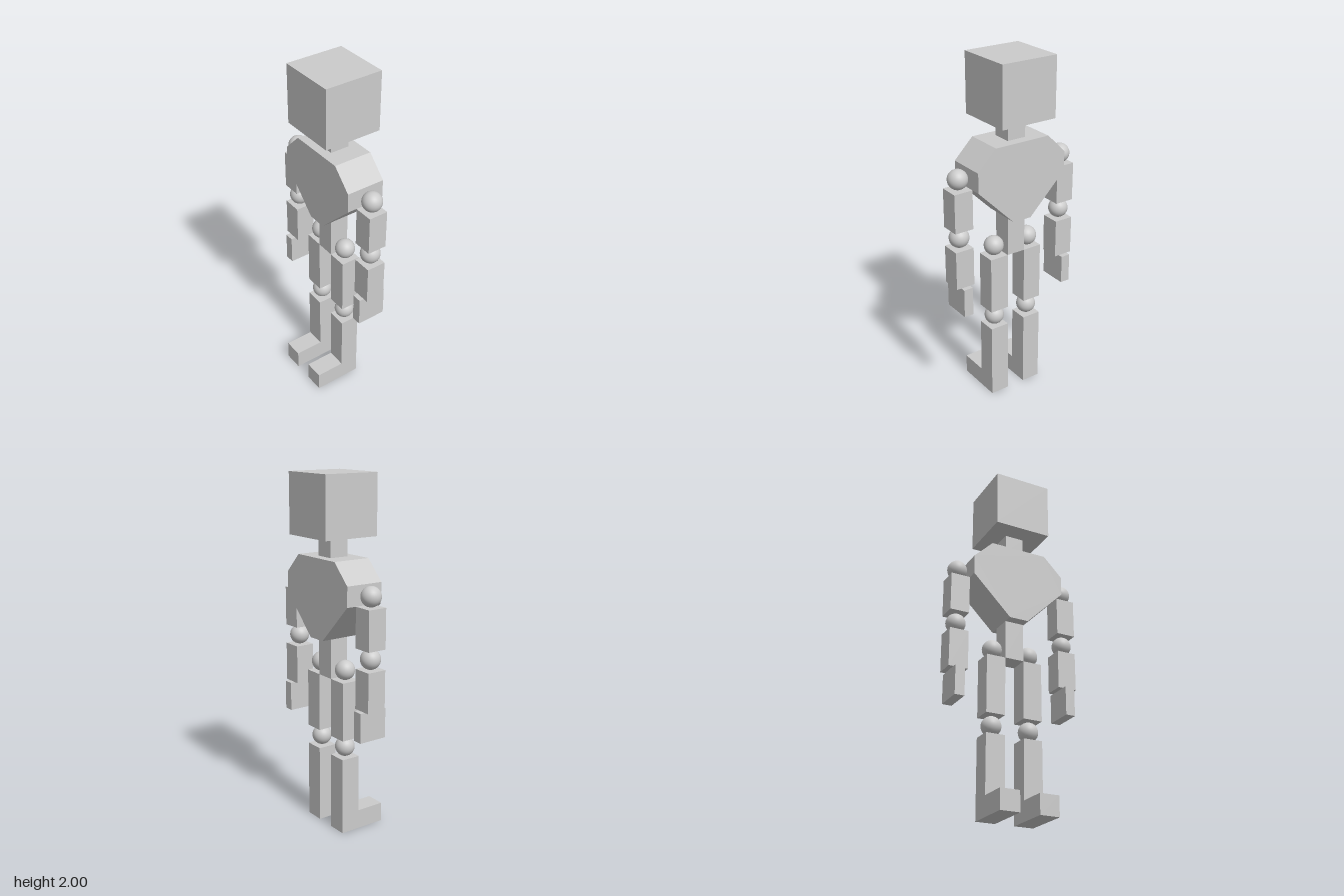
import * as THREE from 'three';

// All sizes are whole or half steps of one module; the figure is 36 modules tall and faces -x.
const U = 1 / 18;
const AXIS = 0.5; // x of the body's centre line

export function createModel() {
  const model = new THREE.Group();
  model.name = 'jointedFigure';
  const material = new THREE.MeshStandardMaterial({ color: 0xcccccc });

  function add(parent, name, geometry, x = 0, y = 0, z = 0) {
    const mesh = new THREE.Mesh(geometry, material);
    mesh.name = name;
    mesh.position.set(x * U, y * U, z * U);
    parent.add(mesh);
    return mesh;
  }

  // Box on the centre line, from height y0 to y1
  function block(parent, name, width, depth, y0, y1, z = 0) {
    const geometry = new THREE.BoxGeometry(width * U, (y1 - y0) * U, depth * U);
    return add(parent, name, geometry, AXIS, (y0 + y1) / 2, z);
  }

  const ball = new THREE.SphereGeometry(U, 32, 16);
  const joint = (parent, name, y, z) => add(parent, name, ball, AXIS, y, z);

  // Outline extruded along z, centred on its depth
  function prism(points, depth) {
    const shape = new THREE.Shape(points.map(([a, b]) => new THREE.Vector2(a * U, b * U)));
    return new THREE.ExtrudeGeometry(shape, { depth: depth * U, bevelEnabled: false })
      .translate(0, 0, -depth * U / 2);
  }

  // Head, neck and spine
  block(model, 'head', 6, 6, 30, 36);
  block(model, 'neck', 2, 2, 28, 30);
  block(model, 'spine', 2, 2, 16, 20);

  // Tapered chest
  const half = [[1, 20], [5, 24], [5, 26], [3, 28]];
  const outline = [...half, ...half.map(([z, y]) => [-z, y]).reverse()];
  add(model, 'chest', prism(outline, 4).rotateY(Math.PI / 2), AXIS);

  // Lower leg and foot in one L-shaped piece
  const shin = prism([[-3.5, 0], [1.5, 0], [1.5, 8], [-0.5, 8], [-0.5, 2], [-3.5, 2]], 2);

  for (const side of [1, -1]) {
    const arm = new THREE.Group();
    arm.name = side > 0 ? 'armFrontSide' : 'armBackSide';
    const armZ = 6 * side;
    joint(arm, 'shoulder', 25, armZ);
    block(arm, 'upperArm', 2, 2, 20, 24, armZ);
    joint(arm, 'elbow', 19, armZ);
    block(arm, 'forearm', 2, 2, 14, 18, armZ);
    block(arm, 'hand', 3, 1, 11, 14, armZ);

    const leg = new THREE.Group();
    leg.name = side > 0 ? 'legFrontSide' : 'legBackSide';
    const legZ = 2 * side;
    joint(leg, 'hip', 17, legZ);
    block(leg, 'thigh', 2, 2, 10, 16, legZ);
    joint(leg, 'knee', 9, legZ);
    add(leg, 'shinAndFoot', shin, 0, 0, legZ);

    model.add(arm, leg);
  }
  return model;
}
